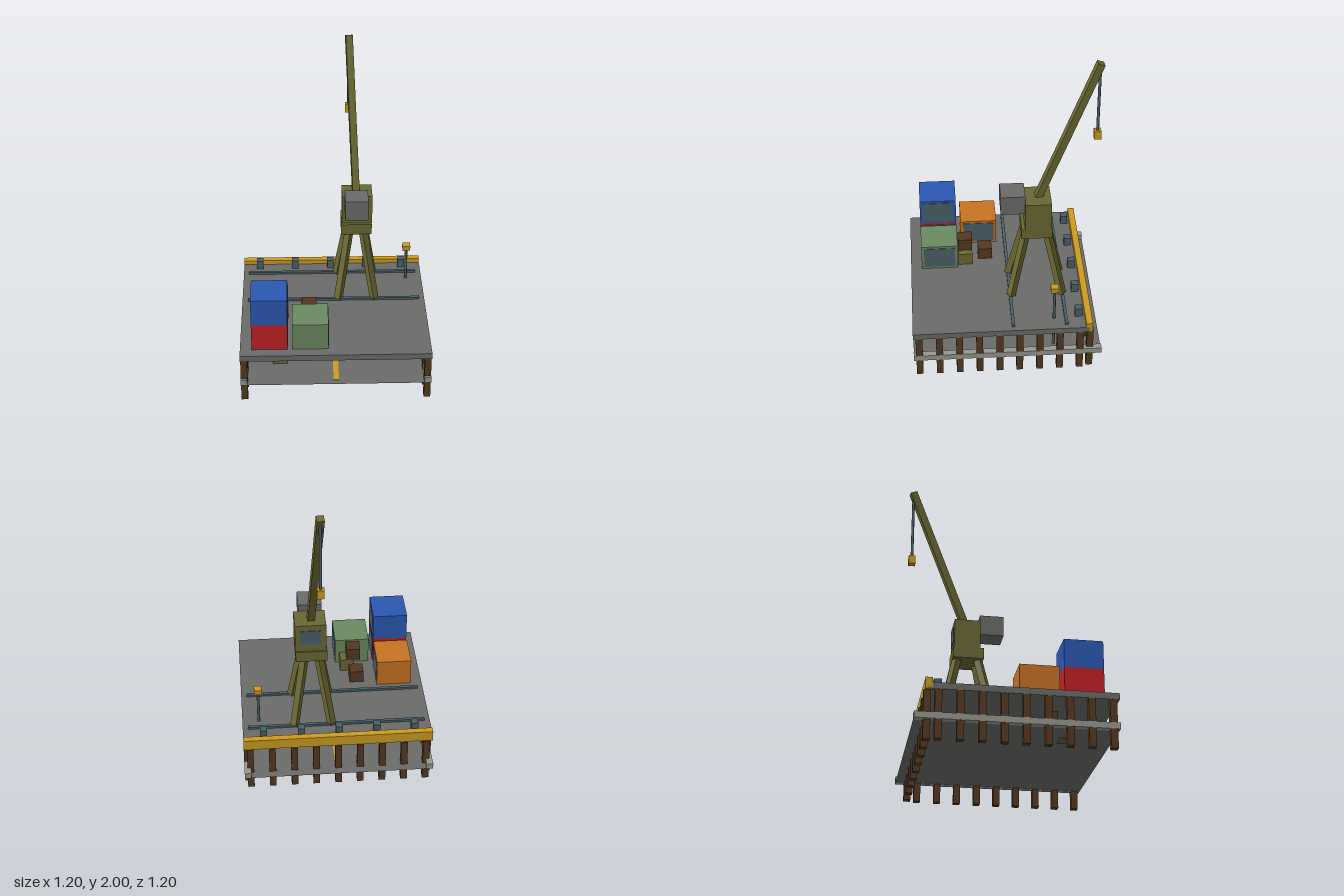
import * as THREE from 'three';

const mat = (name, color) => Object.assign(new THREE.MeshStandardMaterial({ color }), { name });

export function createModel() {
  const concrete = mat('concrete grey', 0x6b6b69);
  const lightGrey = mat('light grey', 0x989890);
  const yellow = mat('safety yellow', 0xcc9c20);
  const olive = mat('olive', 0x6a6832);
  const brown = mat('timber brown', 0x553820);
  const steel = mat('blue steel', 0x4a6068);
  const red = mat('red', 0xc02024);
  const blue = mat('blue', 0x2a58b2);
  const green = mat('green', 0x6a8a60);
  const orange = mat('orange', 0xc87222);

  const model = new THREE.Group();
  model.name = 'dockWithCrane';
  const group = (name) => {
    const g = new THREE.Group();
    g.name = name;
    model.add(g);
    return g;
  };
  // Box given by its lowest and highest corner
  const box = (parent, name, material, [x0, y0, z0], [x1, y1, z1]) => {
    const m = new THREE.Mesh(new THREE.BoxGeometry(x1 - x0, y1 - y0, z1 - z0), material);
    m.position.set((x0 + x1) / 2, (y0 + y1) / 2, (z0 + z1) / 2);
    m.name = name;
    parent.add(m);
    return m;
  };
  // Square bar between two points
  const bar = (parent, name, material, a, b, width) => {
    const from = new THREE.Vector3(...a), to = new THREE.Vector3(...b);
    const m = new THREE.Mesh(new THREE.BoxGeometry(width, width, from.distanceTo(to)), material);
    m.position.copy(from).lerp(to, 0.5);
    m.lookAt(to);
    m.name = name;
    parent.add(m);
  };
  // Upright thin pole
  const pole = (parent, name, x, z, y0, y1) => {
    const m = new THREE.Mesh(new THREE.CylinderGeometry(0.009, 0.009, y1 - y0, 8), steel);
    m.material.flatShading = false;
    m.position.set(x, (y0 + y1) / 2, z);
    m.name = name;
    parent.add(m);
  };

  // Upper deck, fender and lower floor
  const dock = group('dock');
  box(dock, 'deck', concrete, [-0.6, 0.3, -0.52], [0.6, 0.34, 0.6]);
  box(dock, 'fender', yellow, [-0.6, 0.3, -0.538], [0.6, 0.37, -0.496]);
  const floorMaterial = concrete;
  floorMaterial.side = THREE.DoubleSide;
  const floor = new THREE.Mesh(new THREE.PlaneGeometry(1.13, 1.2), floorMaterial);
  floor.rotation.x = -Math.PI / 2;
  floor.position.y = 0.12;
  floor.name = 'lowerFloor';
  dock.add(floor);
  box(dock, 'floorStripe', yellow, [-0.015, 0.121, -0.5], [0.02, 0.124, 0.56]);

  // Piles along the back and both sides, with side beams
  const piles = group('piles');
  const pile = (x, z) => box(piles, 'pile', brown, [x - 0.021, 0, z - 0.021], [x + 0.021, 0.3, z + 0.021]);
  for (let i = 0; i < 9; i++) {
    pile(-0.56 + i * 0.14, -0.525);
    for (const s of [-1, 1]) pile(s * 0.577, 0.563 - i * 0.128);
  }
  for (const s of [-1, 1]) {
    const c = s * 0.579;
    box(piles, 'sideBeam', lightGrey, [c - 0.021, 0.118, -0.6], [c + 0.021, 0.157, 0.6]);
  }

  // Crane rails and bollards
  const fittings = group('deckFittings');
  for (const z of [-0.375, -0.037]) {
    box(fittings, 'rail', steel, [-0.565, 0.34, z - 0.01], [0.565, 0.355, z + 0.01]);
  }
  for (let i = 0; i < 5; i++) {
    const x = -0.49 + i * 0.24;
    box(fittings, 'bollard', steel, [x - 0.022, 0.34, -0.481], [x + 0.022, 0.4, -0.435]);
  }

  // Lamp post
  const lamp = group('lampPost');
  pole(lamp, 'lampPole', 0.494, -0.3, 0.12, 0.57);
  box(lamp, 'lampHead', yellow, [0.469, 0.566, -0.325], [0.519, 0.6, -0.275]);

  // Containers with a door plate on the left side
  const containers = group('containers');
  const container = (name, material, x, y, z) => {
    box(containers, name, material, [x, y, z], [x + 0.226, y + 0.18, z + 0.24]);
    box(containers, name + 'Door', steel, [x + 0.225, y + 0.016, z + 0.018], [x + 0.229, y + 0.164, z + 0.222]);
  };
  container('redContainer', red, -0.527, 0.34, 0.289);
  container('blueContainer', blue, -0.527, 0.52, 0.289);
  container('greenContainer', green, -0.271, 0.34, 0.289);
  container('orangeContainer', orange, -0.527, 0.34, 0.02);

  // Crates on the deck and on the lower floor
  const crates = group('crates');
  box(crates, 'oliveCrate', olive, [-0.165, 0.34, 0.192], [-0.073, 0.425, 0.284]);
  box(crates, 'topCrate', brown, [-0.206, 0.425, 0.192], [-0.116, 0.51, 0.285]);
  box(crates, 'smallCrate', brown, [-0.216, 0.34, 0.06], [-0.125, 0.422, 0.152]);
  box(crates, 'lowerOliveCrate', olive, [-0.4, 0.116, 0.28], [-0.306, 0.19, 0.372]);
  box(crates, 'lowerBrownCrate', brown, [-0.4, 0.121, 0.235], [-0.315, 0.195, 0.3]);
  box(crates, 'lowerTopCrate', brown, [-0.45, 0.195, 0.197], [-0.367, 0.265, 0.262]);

  // Crane
  const crane = group('crane');
  for (const sx of [-1, 1]) {
    for (const sz of [-1, 1]) {
      bar(crane, 'craneLeg', olive,
        [0.15 + sx * 0.118, 0.35, -0.206 + sz * 0.165],
        [0.15 + sx * 0.045, 0.81, -0.206 + sz * 0.066], 0.042);
    }
  }
  box(crane, 'platform', olive, [0.052, 0.795, -0.303], [0.25, 0.867, -0.108]);
  box(crane, 'cab', olive, [0.058, 0.865, -0.295], [0.253, 1.06, -0.13]);
  box(crane, 'cabWindow', steel, [0.09, 0.92, -0.299], [0.222, 1.02, -0.294]);
  box(crane, 'counterweight', concrete, [0.074, 0.972, -0.131], [0.222, 1.105, 0.022]);
  bar(crane, 'boom', olive, [0.15, 1.04, -0.212], [0.112, 1.99, -0.58], 0.045);
  pole(crane, 'cable', 0.112, -0.577, 1.51, 1.96);
  box(crane, 'hook', yellow, [0.09, 1.457, -0.599], [0.134, 1.514, -0.555]);

  return model;
}
